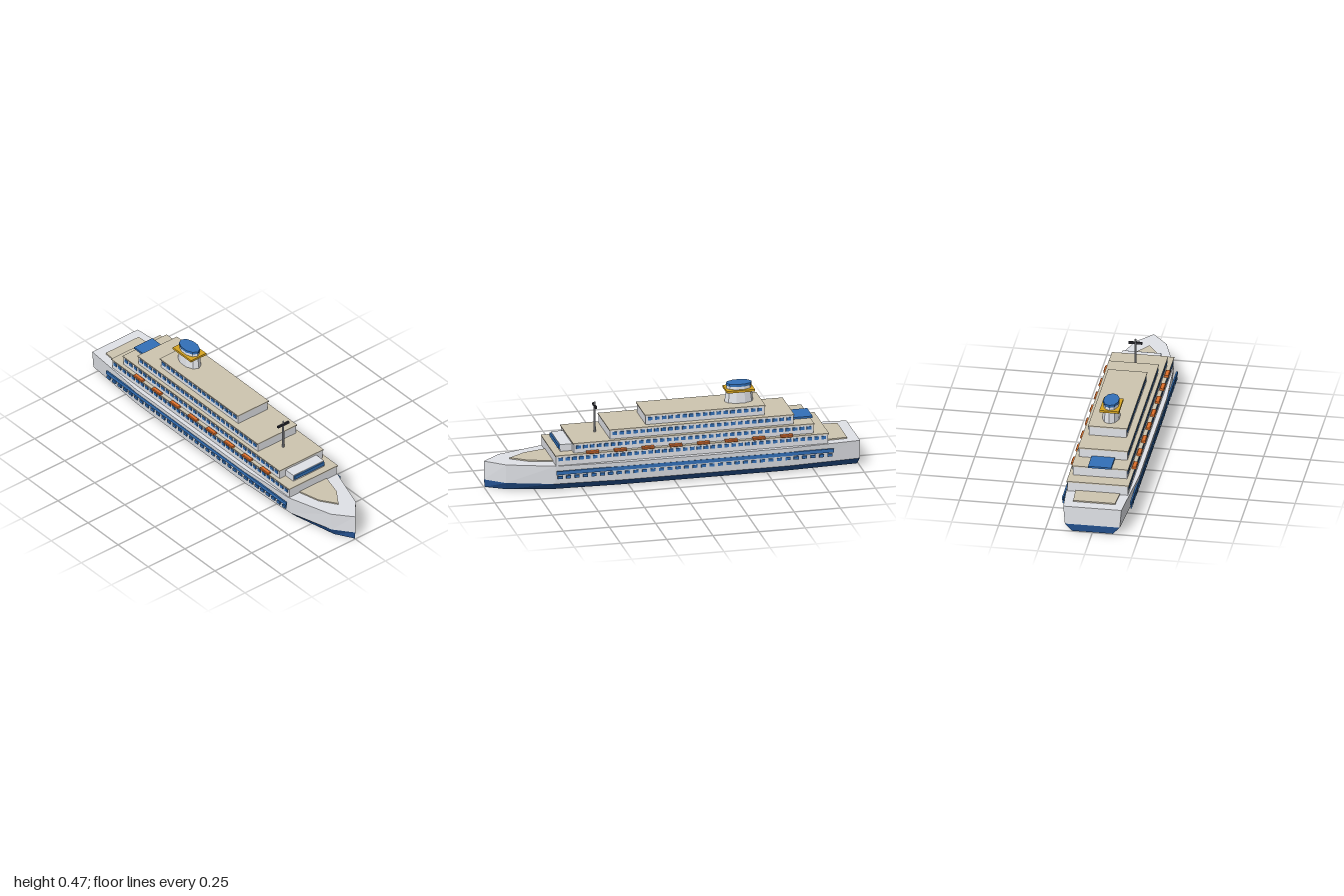
import * as THREE from 'three';
import { mergeGeometries } from 'three/addons/utils/BufferGeometryUtils.js';

const mat = (name, color) => {
  const m = new THREE.MeshStandardMaterial({ color, flatShading: true });
  m.name = name;
  return m;
};

// Half outline of the hull from stern to bow: [x, z]
const HALF = [[0.155, -1], [0.185, -0.6], [0.185, 0.3], [0.165, 0.65], [0.085, 0.9], [0, 1]];
const OUTLINE = [...HALF, ...HALF.slice(0, -1).reverse().map(([x, z]) => [-x, z])];

// Closed solid between scaled copies of the outline; levels: { y, sx, sz, dz }
function loft(levels) {
  const rings = levels.map(({ y, sx, sz = 1, dz = 0 }) =>
    OUTLINE.map(([x, z]) => [x * sx, y, z * sz + dz]));
  const n = OUTLINE.length, pos = [];
  const tri = (...pts) => pts.forEach((p) => pos.push(...p));
  const low = rings[0], high = rings[rings.length - 1];
  for (let i = 0; i < n; i++) {
    const j = (i + 1) % n;
    for (let k = 0; k + 1 < rings.length; k++) {
      const a = rings[k][i], b = rings[k][j], c = rings[k + 1][i], d = rings[k + 1][j];
      tri(a, c, b);
      tri(b, c, d);
    }
    tri([0, low[0][1], 0], low[i], low[j]);
    tri([0, high[0][1], 0], high[j], high[i]);
  }
  const g = new THREE.BufferGeometry();
  g.setAttribute('position', new THREE.Float32BufferAttribute(pos, 3));
  g.computeVertexNormals();
  return g;
}

// Box from its limits on each axis
function box(x0, x1, y0, y1, z0, z1) {
  return new THREE.BoxGeometry(x1 - x0, y1 - y0, z1 - z0)
    .translate((x0 + x1) / 2, (y0 + y1) / 2, (z0 + z1) / 2);
}

// Row of window plates on both sides of the ship
function windowRow(x, y, h, zBack, zFront, count, width) {
  const parts = [];
  for (let i = 0; i < count; i++) {
    const z = zBack + (zFront - zBack) * i / (count - 1);
    for (const s of [-1, 1]) {
      parts.push(new THREE.BoxGeometry(0.008, h, width).translate(s * x, y, z));
    }
  }
  return mergeGeometries(parts);
}

export function createModel() {
  const white = mat('white paint', 0xe2e4e9);
  const navy = mat('lower hull blue', 0x245393);
  const blue = mat('window blue', 0x3270b8);
  const tan = mat('deck tan', 0xcec5af);
  const orange = mat('lifeboat orange', 0xe0702a);
  const gold = mat('funnel gold', 0xd6a420);
  const dark = mat('dark metal', 0x2a2a32);
  const grey = mat('mast grey', 0xa4a6ac);

  const ship = new THREE.Group();
  ship.name = 'cruiseShip';
  const add = (name, geometry, material, parent = ship) => {
    const m = new THREE.Mesh(geometry, material);
    m.name = name;
    parent.add(m);
    return m;
  };

  // Hull and main deck
  add('lowerHull', loft([{ y: 0, sx: 0.7, sz: 0.995 }, { y: 0.042, sx: 0.945 }]), navy);
  add('upperHull', loft([{ y: 0.042, sx: 0.945 }, { y: 0.145, sx: 1 }]), white);
  add('mainDeck', loft([
    { y: 0.144, sx: 0.72, sz: 0.9, dz: -0.04 },
    { y: 0.152, sx: 0.72, sz: 0.9, dz: -0.04 },
  ]), tan);
  for (const s of [-1, 1]) {
    const stripe = add('hullStripe', new THREE.BoxGeometry(0.008, 0.02, 1.5), blue);
    stripe.position.set(s * 0.181, 0.111, -0.1);
  }
  add('hullPortholes', windowRow(0.181, 0.086, 0.015, -0.83, 0.63, 33, 0.026), blue);

  // Stepped superstructure: body, roof slab and windows
  const tiers = [
    { w: 0.161, y: 0.145, top: 0.203, z0: -0.825, z1: 0.648, n: 39 },
    { w: 0.145, y: 0.203, top: 0.258, z0: -0.75, z1: 0.548, n: 34 },
    { w: 0.129, y: 0.258, top: 0.312, z0: -0.645, z1: 0.348, n: 26 },
    { w: 0.1, y: 0.312, top: 0.367, z0: -0.495, z1: 0.148, n: 17 },
  ];
  tiers.forEach(({ w, y, top, z0, z1, n }, i) => {
    const tier = new THREE.Group();
    tier.name = `tier${i + 1}`;
    ship.add(tier);
    add('cabinBlock', box(-w, w, y, top - 0.006, z0, z1), white, tier);
    add('roofDeck', box(-w - 0.005, w + 0.005, top - 0.006, top, z0 - 0.004, z1 + 0.004), tan, tier);
    add('cabinWindows', windowRow(w, top - 0.023, 0.017, z0 + 0.025, z1 - 0.025, n, 0.024), blue, tier);
  });

  // Bridge with its wide front window
  add('bridge', box(-0.104, 0.104, 0.203, 0.241, 0.54, 0.612), white);
  add('bridgeWindow', box(-0.1, 0.1, 0.216, 0.237, 0.611, 0.62), blue);

  // Pool at the stern end of the second tier
  add('pool', box(-0.062, 0.062, 0.258, 0.268, -0.765, -0.645), blue);

  // Lifeboats: bevelled prisms along both sides
  const section = new THREE.Shape([
    [-0.012, 0.003], [-0.009, 0], [0.009, 0], [0.012, 0.003],
    [0.012, 0.011], [0.009, 0.014], [-0.009, 0.014], [-0.012, 0.011],
  ].map(([x, y]) => new THREE.Vector2(x, y)));
  const boat = new THREE.ExtrudeGeometry(section, { depth: 0.066, bevelEnabled: false })
    .translate(0, 0, -0.033);
  for (let i = 0; i < 8; i++) {
    for (const s of [-1, 1]) {
      add('lifeboat', boat, orange).position.set(s * 0.162, 0.2, 0.45 - 0.15 * i);
    }
  }

  // Funnel: tapered oval stack, square collar and cap
  const funnel = new THREE.Group();
  funnel.name = 'funnel';
  funnel.position.z = -0.38;
  ship.add(funnel);
  const oval = (top, bottom, y0, y1) => new THREE.CylinderGeometry(top, bottom, y1 - y0, 10)
    .scale(0.6, 1, 1).translate(0, (y0 + y1) / 2, 0);
  add('stack', oval(0.066, 0.078, 0.366, 0.457), white, funnel);
  add('collar', box(-0.052, 0.052, 0.429, 0.441, -0.076, 0.076), gold, funnel);
  add('cap', oval(0.07, 0.07, 0.457, 0.471), blue, funnel);

  // Mast with crossbar
  const mast = new THREE.Group();
  mast.name = 'mast';
  mast.position.z = 0.4;
  ship.add(mast);
  add('pole', new THREE.CylinderGeometry(0.005, 0.006, 0.17, 8).translate(0, 0.341, 0), grey, mast);
  add('crossbar', box(-0.037, 0.037, 0.398, 0.41, -0.005, 0.005), dark, mast);

  return ship;
}
